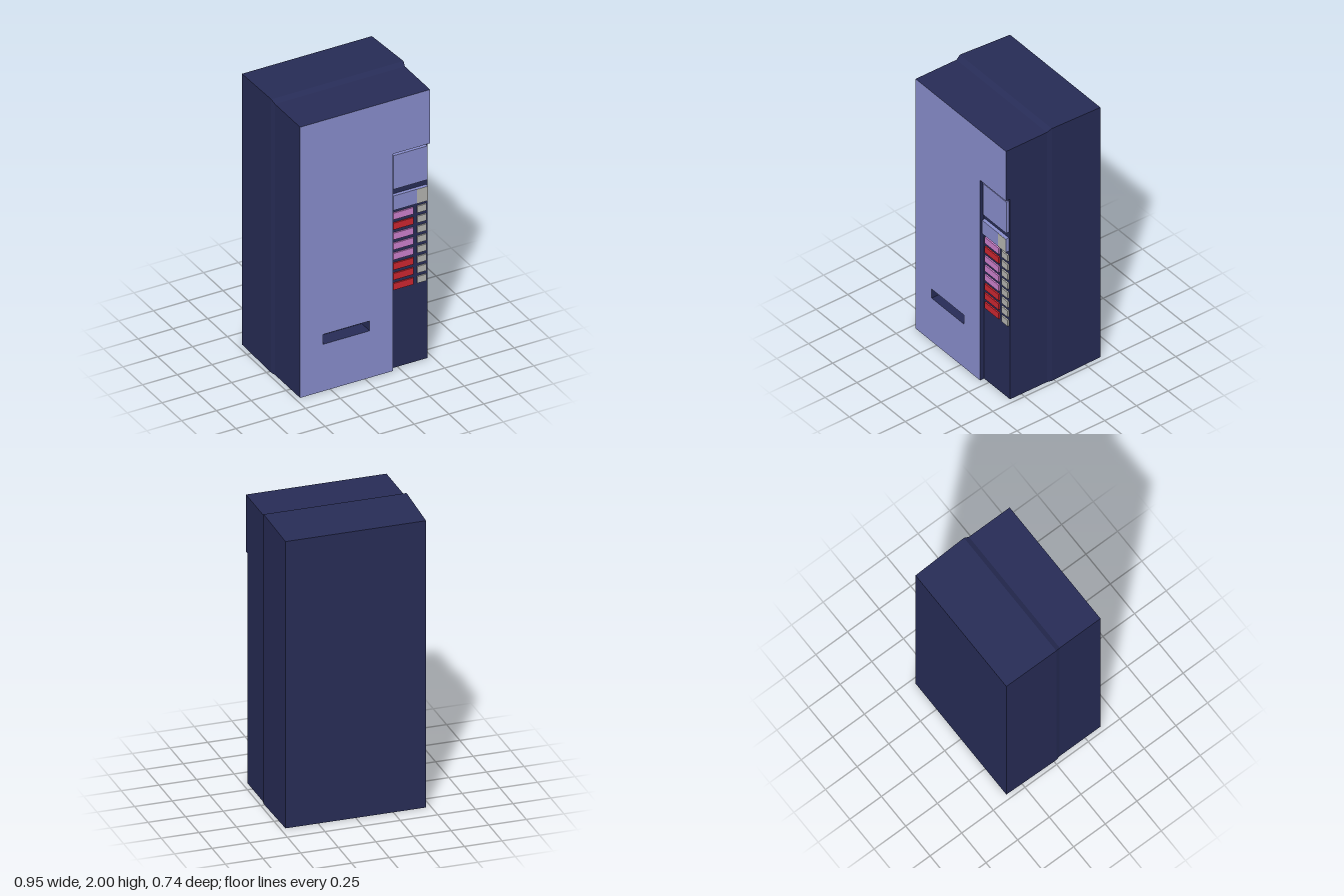
import * as THREE from 'three';

const mat = (color) => new THREE.MeshStandardMaterial({ color, flatShading: true });

export function createModel() {
  const group = new THREE.Group();
  const navy = mat(0x272c56), blue = mat(0x888dcc), grey = mat(0xb4b4b0);
  const red = mat(0xcc2630), pink = mat(0xcc80cc);

  const add = (name, geometry, material) => {
    const mesh = new THREE.Mesh(geometry, material);
    mesh.name = name;
    group.add(mesh);
    return mesh;
  };
  // Box given by its front rectangle and depth range
  const block = (name, x0, x1, y0, y1, z0, z1, material) => {
    add(name, new THREE.BoxGeometry(x1 - x0, y1 - y0, z1 - z0), material)
      .position.set((x0 + x1) / 2, (y0 + y1) / 2, (z0 + z1) / 2);
  };
  const rect = (x0, x1, y0, y1) => [[x0, y0], [x1, y0], [x1, y1], [x0, y1]]
    .map(([x, y]) => new THREE.Vector2(x, y));

  // Cabinet: rectangular sections from back to front, with a raised ridge
  const W = 0.467, H = 1.98, slotBack = 0.27, recess = 0.34, front = 0.372;
  const sections = [[-0.372, W, H], [0.017, 0.475, 2], [0.05, W, H], [slotBack, W, H]];
  const positions = [], index = [];
  sections.forEach(([z, w, h]) => positions.push(-w, 0, z, w, 0, z, w, h, z, -w, h, z));
  for (let s = 0; s < sections.length - 1; s++) {
    for (let i = 0; i < 4; i++) {
      const a = s * 4 + i, b = s * 4 + (i + 1) % 4;
      index.push(a, b, b + 4, a, b + 4, a + 4);
    }
  }
  const last = (sections.length - 1) * 4;
  index.push(0, 2, 1, 0, 3, 2, last, last + 1, last + 2, last, last + 2, last + 3);
  const cabinet = new THREE.BufferGeometry();
  cabinet.setAttribute('position', new THREE.Float32BufferAttribute(positions, 3));
  cabinet.setIndex(index);
  const shell = cabinet.toNonIndexed();
  shell.computeVertexNormals();
  add('cabinet', shell, navy);

  // Front layers, both pierced by the dispensing slot
  const layer = (name, points, z0, z1, material) => {
    const shape = new THREE.Shape(points);
    shape.holes.push(new THREE.Path(rect(-0.302, 0.033, 0.343, 0.415)));
    const geometry = new THREE.ExtrudeGeometry(shape, { depth: z1 - z0, bevelEnabled: false });
    add(name, geometry, material).position.z = z0;
  };
  layer('cabinetFront', rect(-W, W, 0, H), slotBack, recess, navy);
  const doorOutline = [[-W, 0], [0.2, 0], [0.2, 1.587], [W, 1.587], [W, H], [-W, H]]
    .map(([x, y]) => new THREE.Vector2(x, y));
  layer('frontPanel', doorOutline, recess, front, [blue, navy]);

  // Control column
  block('displayPanel', 0.212, 0.455, 1.318, 1.565, recess, 0.36, blue);
  block('coinPanel', 0.208, 0.455, 1.167, 1.273, recess, 0.364, blue);
  block('coinPlate', 0.378, 0.454, 1.168, 1.272, 0.362, 0.366, grey);
  [pink, red, pink, pink, pink, red, red, red].forEach((material, i) => {
    const y = 1.113 - i * 0.0735;
    block('selectionLabel', 0.217, 0.362, y - 0.024, y + 0.024, recess, 0.35, material);
    block('selectionButton', 0.39, 0.455, y - 0.024, y + 0.024, recess, 0.35, grey);
  });
  return group;
}
